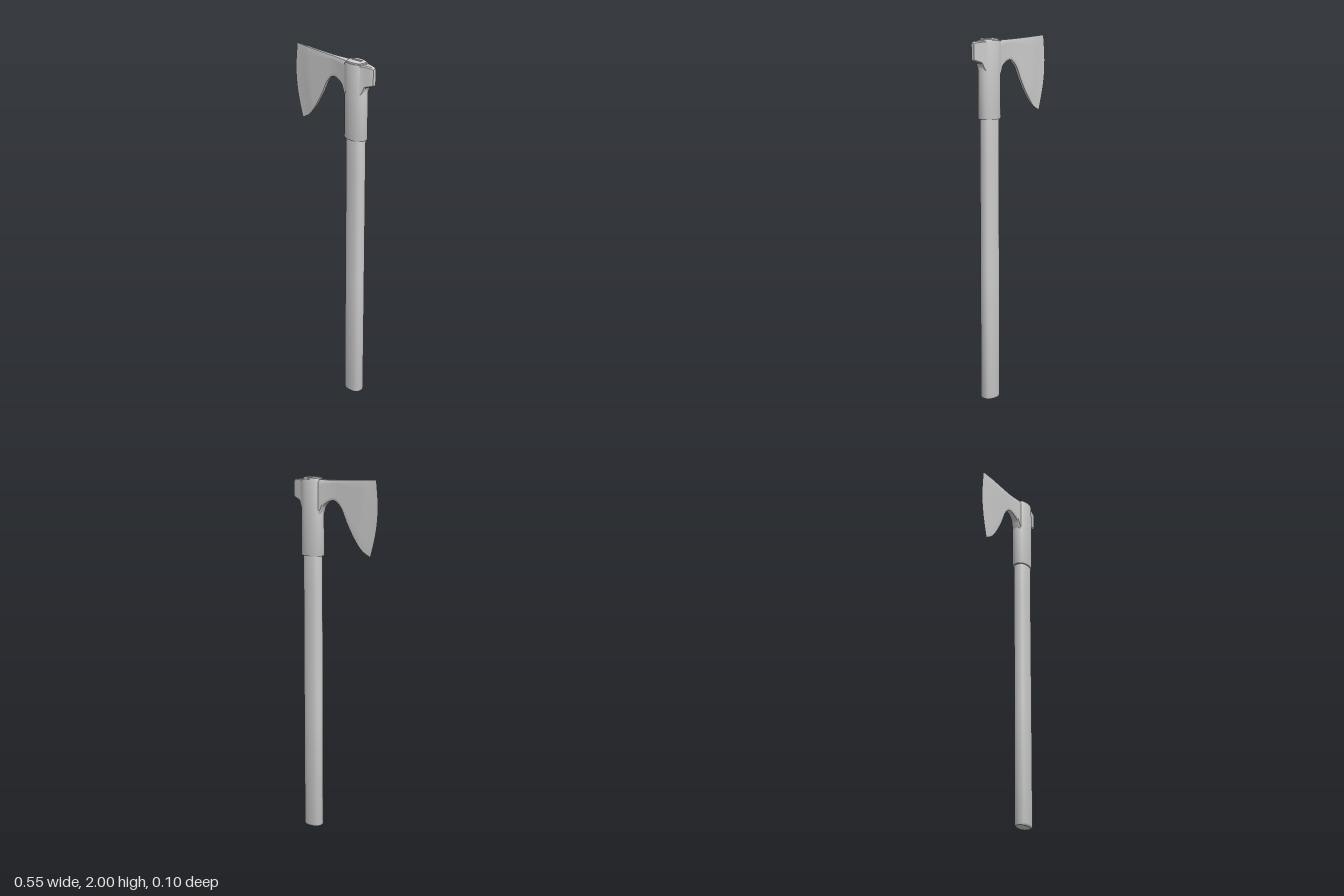
import * as THREE from 'three';
import { toCreasedNormals } from 'three/addons/utils/BufferGeometryUtils.js';

const material = new THREE.MeshStandardMaterial({ color: 0xcccccc });
const AXIS = 0.154; // x of the handle axis

// Closed skin through rings of equal point count, wound outward
function loft(name, rings, crease = 0.6) {
  const n = rings[0].length;
  const points = rings.flat();
  const index = [];
  for (let r = 0; r < rings.length - 1; r++) {
    for (let i = 0; i < n; i++) {
      const a = r * n + i, b = r * n + (i + 1) % n;
      index.push(a, b, b + n, a, b + n, a + n);
    }
  }
  // End caps as fans around the ring centre
  const cap = (r, flip) => {
    const centre = new THREE.Vector3();
    rings[r].forEach((p) => centre.addScaledVector(p, 1 / n));
    const c = points.push(centre) - 1;
    for (let i = 0; i < n; i++) {
      const a = r * n + i, b = r * n + (i + 1) % n;
      index.push(c, flip ? b : a, flip ? a : b);
    }
  };
  cap(0, true);
  cap(rings.length - 1, false);
  // A negative enclosed volume means the winding must be reversed
  let volume = 0;
  const cross = new THREE.Vector3();
  for (let i = 0; i < index.length; i += 3) {
    const [a, b, c] = [0, 1, 2].map((k) => points[index[i + k]]);
    volume += a.dot(cross.crossVectors(b, c));
  }
  if (volume < 0) index.reverse();
  const geometry = new THREE.BufferGeometry().setFromPoints(points);
  geometry.setIndex(index);
  const mesh = new THREE.Mesh(toCreasedNormals(geometry, crease), material);
  mesh.name = name;
  return mesh;
}

// Horizontal superellipse ring; power 1 is an ellipse, smaller is boxier
function oval(y, rx, rz, power = 1, sides = 20) {
  return Array.from({ length: sides }, (_, i) => {
    const t = (i / sides) * Math.PI * 2;
    const c = Math.cos(t), s = Math.sin(t);
    return new THREE.Vector3(
      AXIS + rx * Math.sign(c) * Math.abs(c) ** power, y,
      rz * Math.sign(s) * Math.abs(s) ** power);
  });
}

const curve = (pts) => new THREE.CatmullRomCurve3(pts.map(([x, y]) => new THREE.Vector3(x, y, 0)));

// Half thickness of the blade along x
function halfThickness(x) {
  const table = [[-0.3, 0.007], [-0.2, 0.0085], [0, 0.0135], [0.04, 0.018], [0.09, 0.026], [0.13, 0.034]];
  for (let i = 1; i < table.length; i++) {
    const [x0, t0] = table[i - 1], [x1, t1] = table[i];
    if (x <= x1) return THREE.MathUtils.mapLinear(x, x0, x1, t0, t1);
  }
  return 0.034;
}

function makeBlade() {
  const top = curve([[0.115, 1.985], [0, 1.987], [-0.12, 1.992], [-0.265, 2.0]]);
  const bottom = curve([[0.105, 1.77], [0.086, 1.81], [0.075, 1.842], [0.04, 1.868], [0, 1.876],
    [-0.04, 1.843], [-0.08, 1.762], [-0.13, 1.677], [-0.18, 1.615], [-0.23, 1.585]]);
  const columns = 28, rows = 12, rings = [];
  for (let c = 0; c <= columns; c++) {
    const u = c / columns;
    const a = top.getPointAt(u), b = bottom.getPointAt(u);
    const front = [];
    for (let r = 0; r <= rows; r++) {
      const v = r / rows;
      const p = a.clone().lerp(b, v);
      // Curved cutting edge, ground down to a thin line, with softened rims
      p.x -= 0.027 * Math.sin(Math.PI * v) * u ** 3;
      const grind = Math.max(0.04, Math.min(1, (1 - u) / 0.2));
      p.z = halfThickness(p.x) * grind * (r === 0 || r === rows ? 0.75 : 1);
      front.push(p);
    }
    const back = front.map((p) => new THREE.Vector3(p.x, p.y, -p.z)).reverse();
    rings.push([...front, ...back]);
  }
  return loft('blade', rings);
}

// Tapering hammer end behind the eye: x, bottom, top, half thickness
function makePoll() {
  const sections = [[0.17, 1.80, 1.985, 0.044], [0.205, 1.815, 1.985, 0.033], [0.217, 1.838, 1.985, 0.027],
    [0.228, 1.865, 1.985, 0.024], [0.25, 1.873, 1.984, 0.019], [0.27, 1.879, 1.981, 0.0135], [0.276, 1.884, 1.976, 0.010]];
  const bevel = 0.006;
  return loft('poll', sections.map(([x, lo, hi, t]) => [
    [hi, t - bevel], [hi - bevel, t], [lo + bevel, t], [lo, t - bevel],
    [lo, bevel - t], [lo + bevel, -t], [hi - bevel, -t], [hi, bevel - t],
  ].map(([y, z]) => new THREE.Vector3(x, y, z))));
}

export function createModel() {
  const group = new THREE.Group();
  group.name = 'axe';

  // Wooden shaft with eased ends, passing through the eye
  const shaft = [[0, 0.046, 0.033], [0.004, 0.052, 0.037], [0.012, 0.055, 0.039], [0.7, 0.055, 0.039],
    [1.4, 0.054, 0.039], [1.985, 0.055, 0.041], [1.992, 0.053, 0.039], [1.997, 0.044, 0.031]];
  group.add(loft('handle', shaft.map(([y, rx, rz]) => oval(y, rx, rz, 0.75))));

  // Long socket around the shaft
  const socket = [[1.567, 0.066, 0.047], [1.572, 0.068, 0.048], [1.8, 0.067, 0.048],
    [1.975, 0.066, 0.049], [1.986, 0.064, 0.047]];
  group.add(loft('socket', socket.map(([y, rx, rz]) => oval(y, rx, rz, 0.9))));

  group.add(makeBlade(), makePoll());

  // Wedge driven into the top of the shaft
  const wedge = new THREE.Mesh(new THREE.BoxGeometry(0.062, 0.02, 0.013), material);
  wedge.name = 'wedge';
  wedge.position.set(0.157, 1.99, 0);
  group.add(wedge);

  return group;
}
